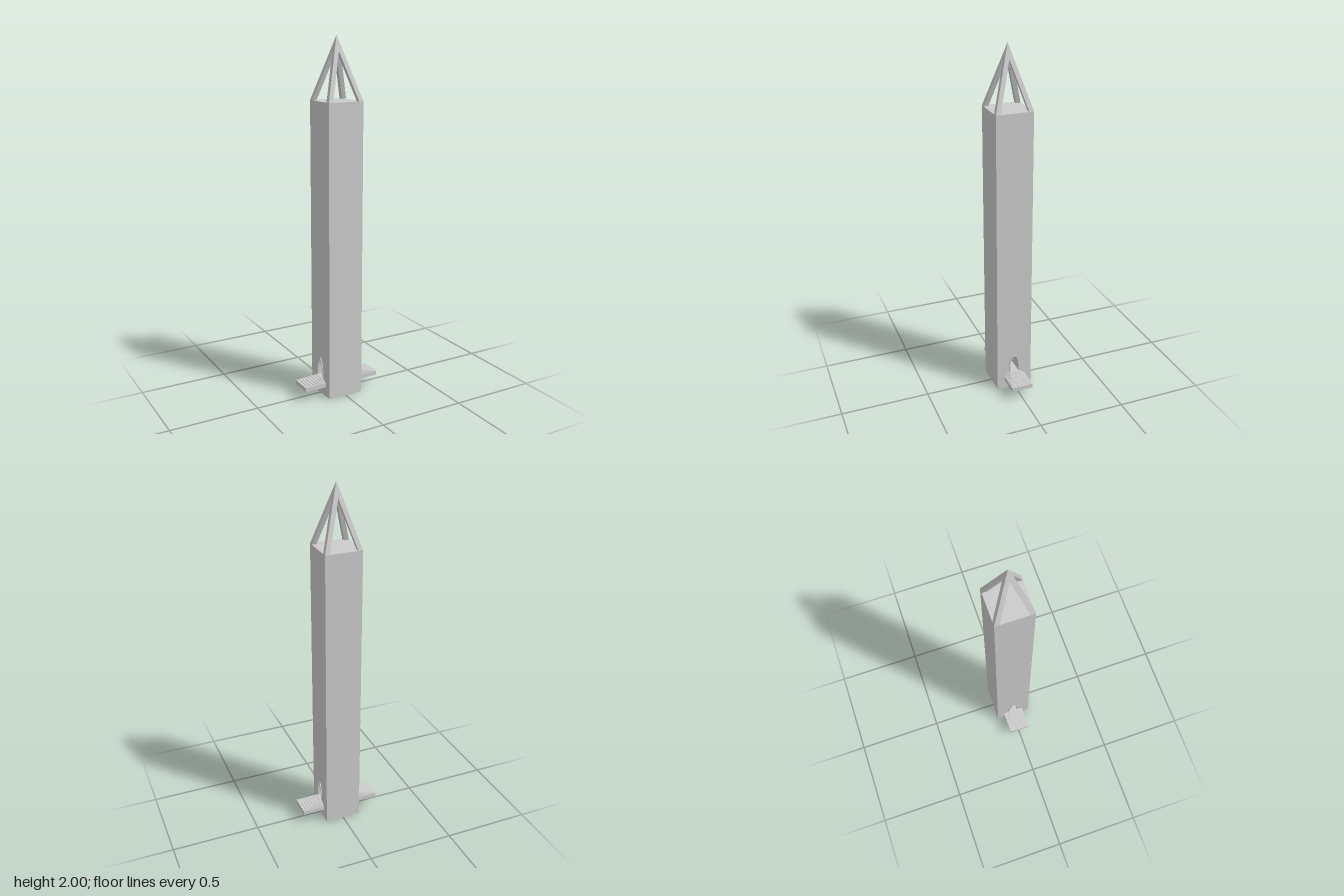
import * as THREE from 'three';

const W = 0.104;          // tower half width
const ROOF = 1.66;        // top of the shaft
const FLOOR = 0.105;      // doorway floor

const material = new THREE.MeshStandardMaterial({ color: 0xcccccc, flatShading: true });

function addMesh(parent, geometry, name) {
  const mesh = new THREE.Mesh(geometry, material);
  mesh.name = name;
  parent.add(mesh);
  return mesh;
}

// Tall arch outline standing on the doorway floor
function traceArch(path, halfWidth, top) {
  const spring = 0.135;
  path.moveTo(-halfWidth, FLOOR);
  path.lineTo(halfWidth, FLOOR);
  path.lineTo(halfWidth, spring);
  path.absellipse(0, spring, halfWidth, top - spring, 0, Math.PI, false);
  path.lineTo(-halfWidth, FLOOR);
  return path;
}

// Extrude an outline drawn in z and y along the x axis
function extrudeAlongX(shape, from, to) {
  const geometry = new THREE.ExtrudeGeometry(shape, { depth: to - from, bevelEnabled: false, curveSegments: 16 });
  geometry.translate(0, 0, from);
  geometry.rotateY(Math.PI / 2);
  return geometry;
}

// Four-sided block between two squares, each given as [min, max, y] in x and z
function taperedBlock([a0, a1, y0], [b0, b1, y1]) {
  const geometry = new THREE.BoxGeometry(1, 1, 1);
  const p = geometry.attributes.position;
  for (let i = 0; i < p.count; i++) {
    const [lo, hi, y] = p.getY(i) < 0 ? [a0, a1, y0] : [b0, b1, y1];
    p.setXYZ(i, p.getX(i) < 0 ? lo : hi, y, p.getZ(i) < 0 ? lo : hi);
  }
  geometry.computeVertexNormals();
  return geometry;
}

function createEntrance() {
  const entrance = new THREE.Group();

  // Nested slabs, each a little shorter, narrower and taller than the last
  const steps = 9;
  for (let i = 0; i < steps; i++) {
    const reach = 0.233 - i * 0.0161;
    const halfDepth = 0.062 - i * 0.0044;
    const bottom = i === 0 ? 0.056 : 0.07;
    const top = 0.081 + i * 0.003;
    const inner = W - 0.002;
    const step = new THREE.BoxGeometry(reach - inner, top - bottom, halfDepth * 2);
    step.translate((reach + inner) / 2, (top + bottom) / 2, 0);
    addMesh(entrance, step, i === 0 ? 'landing' : 'step');
  }

  // Raised surround of the doorway
  const surround = traceArch(new THREE.Shape(), 0.031, 0.213);
  surround.holes.push(traceArch(new THREE.Path(), 0.025, 0.205));
  addMesh(entrance, extrudeAlongX(surround, W - 0.001, 0.109), 'doorSurround');
  return entrance;
}

export function createModel() {
  const model = new THREE.Group();
  model.name = 'tower';

  // Square shaft pierced by the arched passage
  const outline = new THREE.Shape();
  outline.moveTo(-W, 0);
  outline.lineTo(W, 0);
  outline.lineTo(W, ROOF);
  outline.lineTo(-W, ROOF);
  outline.closePath();
  outline.holes.push(traceArch(new THREE.Path(), 0.025, 0.205));
  addMesh(model, extrudeAlongX(outline, -W, W), 'shaft');

  // Open spire: four leaning corner ribs meeting under a solid tip
  const tipBase = 1.917;
  const tipHalf = W * (2 - tipBase) / (2 - ROOF);
  const spire = new THREE.Group();
  spire.name = 'spire';
  for (let i = 0; i < 4; i++) {
    const rib = addMesh(spire, taperedBlock([0.078, W, ROOF], [0, tipHalf, tipBase]), 'spireRib');
    rib.rotation.y = i * Math.PI / 2;
  }
  const tip = new THREE.ConeGeometry(tipHalf * Math.SQRT2, 2 - tipBase, 4);
  tip.rotateY(Math.PI / 4);
  tip.translate(0, (2 + tipBase) / 2, 0);
  addMesh(spire, tip, 'spireTip');
  model.add(spire);

  // Matching entrances on both sides
  const leftEntrance = createEntrance();
  leftEntrance.name = 'leftEntrance';
  const rightEntrance = createEntrance();
  rightEntrance.name = 'rightEntrance';
  rightEntrance.rotation.y = Math.PI;
  model.add(leftEntrance, rightEntrance);

  return model;
}
